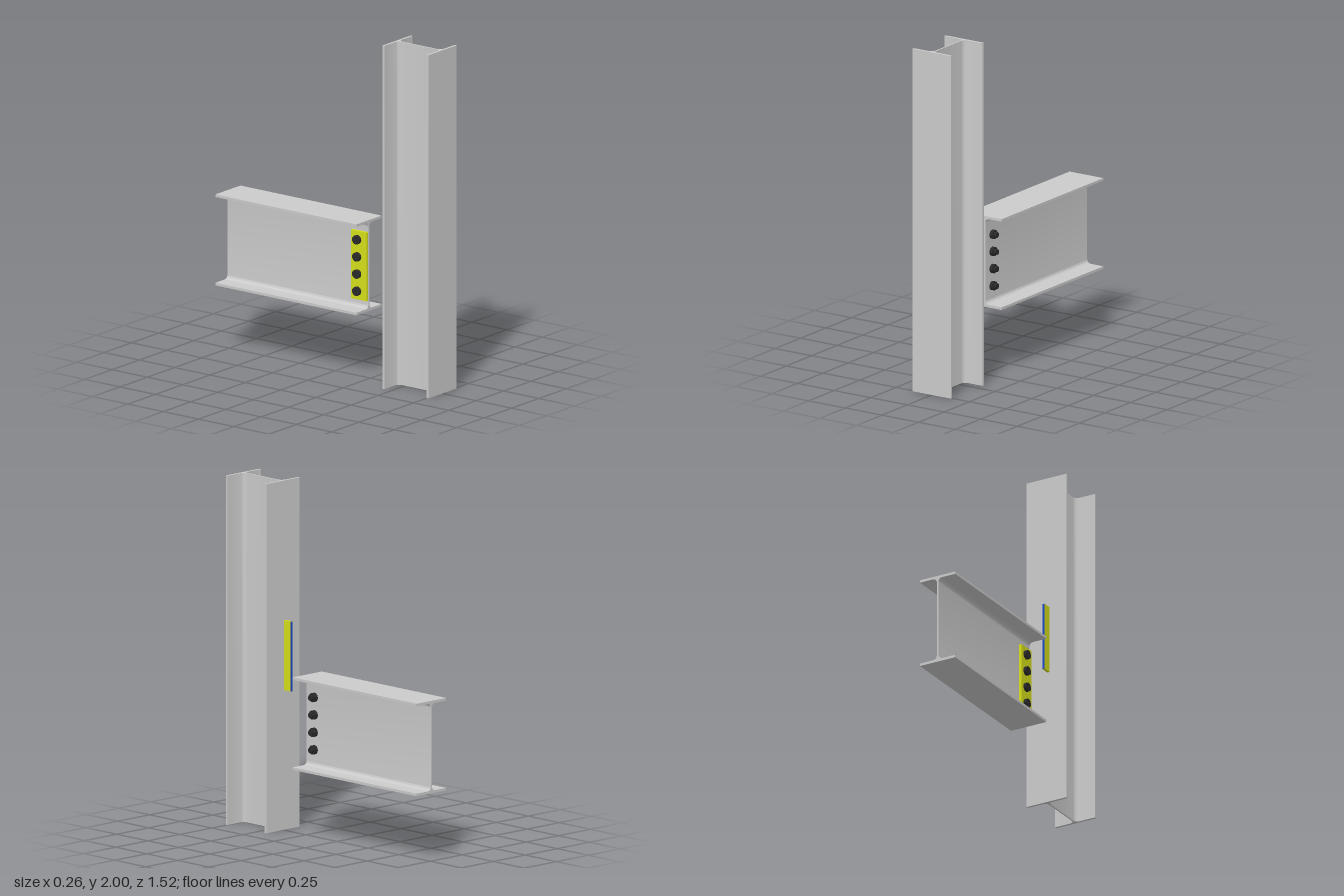
import * as THREE from 'three';
import { toCreasedNormals } from 'three/addons/utils/BufferGeometryUtils.js';

const steel = new THREE.MeshStandardMaterial({ color: 0xcccccc });
const yellow = new THREE.MeshStandardMaterial({ color: 0xd6e01a });
const blue = new THREE.MeshStandardMaterial({ color: 0x1a46c8 });
const black = new THREE.MeshStandardMaterial({ color: 0x2a2a2a });

// Rolled I-section with root fillets, extruded along z and centred.
// b, h: half width and half depth; tf: flange thickness; tw: half web; r: fillet
function iSection(b, h, tf, tw, r, length) {
  const s = new THREE.Shape();
  const P = Math.PI, x = tw + r, y = h - tf - r;
  s.moveTo(-b, -h);
  s.lineTo(b, -h);
  s.lineTo(b, -h + tf);
  s.absarc(x, -y, r, -P / 2, -P, true);
  s.absarc(x, y, r, P, P / 2, true);
  s.lineTo(b, h - tf);
  s.lineTo(b, h);
  s.lineTo(-b, h);
  s.lineTo(-b, h - tf);
  s.absarc(-x, y, r, P / 2, 0, true);
  s.absarc(-x, -y, r, 0, -P / 2, true);
  s.lineTo(-b, -h + tf);
  s.closePath();
  const geo = new THREE.ExtrudeGeometry(s, { depth: length, bevelEnabled: false, curveSegments: 8 });
  geo.translate(0, 0, -length / 2);
  return toCreasedNormals(geo, 0.6);
}

function add(parent, name, geometry, material, x, y, z) {
  const mesh = new THREE.Mesh(geometry, material);
  mesh.name = name;
  mesh.position.set(x, y, z);
  parent.add(mesh);
  return mesh;
}

// Cylinder lying along x between x0 and x1
function rod(parent, name, radius, x0, x1, sides) {
  const geo = new THREE.CylinderGeometry(radius, radius, x1 - x0, sides);
  geo.rotateZ(Math.PI / 2);
  return add(parent, name, geo, black, (x0 + x1) / 2, 0, 0);
}

export function createModel() {
  const model = new THREE.Group();
  model.name = 'beamToColumnJoint';

  // Upright column
  const columnGeo = iSection(0.13, 0.163, 0.014, 0.004, 0.026, 2);
  columnGeo.rotateX(-Math.PI / 2);
  add(model, 'column', columnGeo, steel, 0, 1, 0.598);

  // Horizontal beam
  add(model, 'beam', iSection(0.115, 0.265, 0.015, 0.005, 0.023, 1), steel, 0, 0.655, -0.26);

  // Fin plate stub on the column flange, with its marked end face
  add(model, 'columnPlate', new THREE.BoxGeometry(0.015, 0.4, 0.055), yellow, -0.0135, 1, 0.4085);
  add(model, 'columnPlateEnd', new THREE.BoxGeometry(0.015, 0.4, 0.002), blue, -0.0135, 1, 0.38);

  // Matching plate bolted to the beam web
  add(model, 'beamPlate', new THREE.BoxGeometry(0.015, 0.4, 0.11), yellow, -0.0125, 0.65, 0.183);

  // Column of four bolts through web and plate
  for (let i = 0; i < 4; i++) {
    const bolt = new THREE.Group();
    bolt.name = 'bolt' + (i + 1);
    bolt.position.set(0, 0.5 + i * 0.1, 0.175);
    rod(bolt, 'nut', 0.026, 0.005, 0.025, 16);
    rod(bolt, 'shank', 0.016, -0.02, 0.042, 16);
    rod(bolt, 'head', 0.026, -0.038, -0.02, 16);
    model.add(bolt);
  }
  return model;
}
